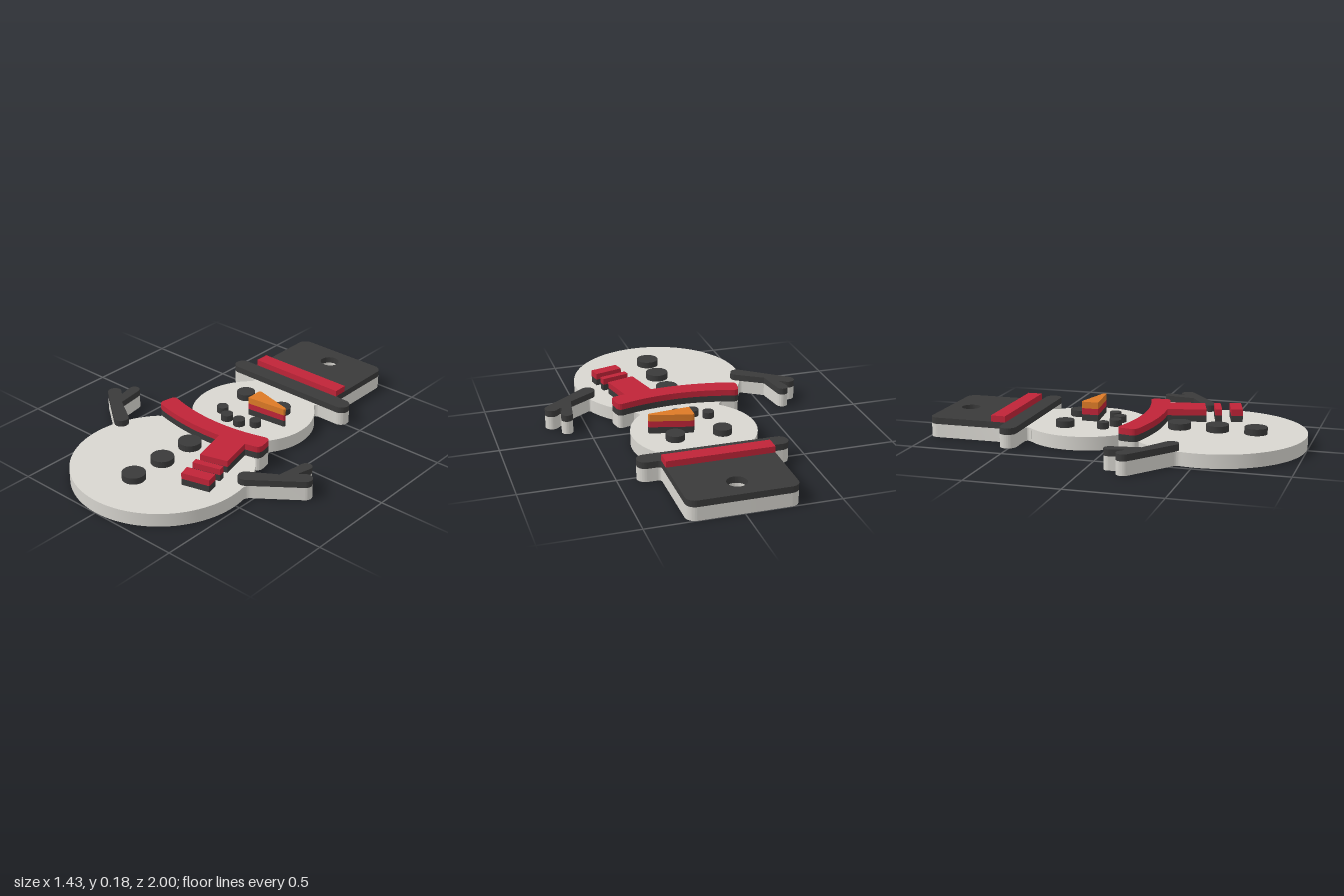
import * as THREE from 'three';
import { toCreasedNormals } from 'three/addons/utils/BufferGeometryUtils.js';

const DEG = Math.PI / 180;
const mat = (name, color) => {
  const m = new THREE.MeshStandardMaterial({ color });
  m.name = name;
  return m;
};

// heights of the four stacked layers
const Y = [0, 0.073, 0.108, 0.142, 0.178];

// Shapes are drawn in plan: shape x = model x, shape y = model z.
const poly = (pts) => new THREE.Shape(pts.map(([x, z]) => new THREE.Vector2(x, z)));

const disc = (x, z, r) => new THREE.Shape().absarc(x, z, r, 0, Math.PI * 2, false);

// closes a right-hand half outline with its mirror image
function mirrored(half) {
  const right = half.getPoints(20);
  const left = right.filter((p) => p.x > 1e-4).reverse().map((p) => new THREE.Vector2(-p.x, p.y));
  return new THREE.Shape([...right, ...left]);
}

// Half outlines, all starting on or near the centre line
function hatHalf(p) {
  p.moveTo(0, -1);
  p.lineTo(0.235, -1);
  p.absarc(0.235, -0.95, 0.05, -90 * DEG, 0, false);
  p.lineTo(0.285, -0.58);
  p.quadraticCurveTo(0.285, -0.56, 0.305, -0.56);
  p.absarc(0.355, -0.515, 0.045, -90 * DEG, 90 * DEG, false);
}

function scarfEnd(p) {
  p.lineTo(0.31, 0.08);
  p.quadraticCurveTo(0.338, 0.073, 0.345, 0.1);
  p.lineTo(0.354, 0.148);
  p.quadraticCurveTo(0.356, 0.178, 0.33, 0.185);
}

function armEdge(p) {
  p.lineTo(0.56, 0.265);
  p.absarc(0.613, 0.118, 0.031, 191 * DEG, 371 * DEG, false);
  p.lineTo(0.626, 0.195);
  p.lineTo(0.634, 0.197);
  p.absarc(0.678, 0.206, 0.037, -126 * DEG, 54 * DEG, false);
}

function baseShape() {
  const p = new THREE.Path();
  hatHalf(p);
  // neck fillet and head
  p.lineTo(0.24, -0.47);
  p.quadraticCurveTo(0.2, -0.465, 0.235, -0.43);
  p.absarc(0, -0.19, 0.335, -45.6 * DEG, 48 * DEG, false);
  p.quadraticCurveTo(0.225, 0.085, 0.25, 0.097);
  scarfEnd(p);
  // body, interrupted by the arm
  p.quadraticCurveTo(0.325, 0.19, 0.345, 0.197);
  p.absarc(0, 0.523, 0.475, -43.3 * DEG, -25 * DEG, false);
  p.quadraticCurveTo(0.435, 0.345, 0.455, 0.333);
  armEdge(p);
  p.lineTo(0.49, 0.395);
  p.quadraticCurveTo(0.462, 0.415, 0.468, 0.44);
  p.absarc(0, 0.523, 0.475, -10 * DEG, 90 * DEG, false);
  return mirrored(p);
}

function hatShape() {
  const p = new THREE.Path();
  hatHalf(p);
  p.lineTo(0, -0.47);
  return mirrored(p);
}

function scarfShape() {
  const p = new THREE.Path();
  p.moveTo(0, 0.128);
  p.quadraticCurveTo(0.155, 0.128, 0.31, 0.08);
  scarfEnd(p);
  p.quadraticCurveTo(0.165, 0.2275, 0, 0.2275);
  return mirrored(p);
}

function armShape(side) {
  const p = new THREE.Path();
  p.moveTo(0.417, 0.354);
  armEdge(p);
  p.absarc(0.44, 0.386, 0.039, 54 * DEG, 234 * DEG, false);
  return new THREE.Shape(p.getPoints(12).map((v) => new THREE.Vector2(v.x * side, v.y)));
}

export function createModel() {
  const model = new THREE.Group();
  model.name = 'snowmanOrnament';
  const white = mat('snowWhite', 0xd8d6d0);
  const black = mat('charcoal', 0x3a3a3a);
  const red = mat('scarfRed', 0xc02438);
  const orange = mat('carrotOrange', 0xdc7a26);
  const layerMats = [white, black, red, orange];

  // one flat plate filling the given layer
  function plate(name, shapes, layer, parent = model) {
    const geo = new THREE.ExtrudeGeometry(shapes, {
      depth: Y[layer + 1] - Y[layer], bevelEnabled: false, curveSegments: 32,
    });
    geo.rotateX(Math.PI / 2);
    geo.translate(0, Y[layer + 1], 0);
    const mesh = new THREE.Mesh(toCreasedNormals(geo, 30 * DEG), layerMats[layer]);
    mesh.name = name;
    parent.add(mesh);
  }

  // the same outline repeated through several layers
  function stack(name, shapes, layers) {
    const group = new THREE.Group();
    group.name = name;
    for (const l of layers) plate(`${name}Layer${l}`, shapes, l, group);
    model.add(group);
  }

  // white backing and hat, both pierced by the hanging hole
  const base = baseShape();
  const hat = hatShape();
  for (const s of [base, hat]) s.holes.push(disc(0, -0.875, 0.052));
  plate('base', base, 0);
  plate('hat', hat, 1);
  plate('hatBand', poly([[-0.285, -0.64], [0.285, -0.64], [0.285, -0.56], [-0.285, -0.56]]), 2);

  // arms, eyes and mouth
  for (const [side, label] of [[1, 'left'], [-1, 'right']]) {
    plate(`${label}Arm`, armShape(side), 1);
    plate(`${label}Eye`, disc(side * 0.128, -0.278, 0.05), 1);
    plate(`${label}MouthDots`, [disc(side * 0.117, -0.07, 0.031), disc(side * 0.043, -0.022, 0.033)], 1);
  }

  // coat buttons
  [0.32, 0.525, 0.73].forEach((z, i) => plate(`button${i + 1}`, disc(0, z, 0.061), 1));

  // scarf with hanging tail and loose fringe stripes
  stack('scarf', scarfShape(), [1, 2]);
  stack('scarfTail', poly([[0.115, 0.21], [0.27, 0.18], [0.32, 0.385], [0.17, 0.427]]), [1, 2]);
  stack('scarfStripes', [
    poly([[0.185, 0.473], [0.336, 0.433], [0.344, 0.467], [0.195, 0.508]]),
    poly([[0.204, 0.557], [0.357, 0.515], [0.37, 0.577], [0.22, 0.617]]),
  ], [1, 2]);

  // carrot nose
  stack('nose', poly([[0.01, -0.227], [0.018, -0.232], [0.03, -0.231], [0.238, -0.177],
    [0.243, -0.168], [0.238, -0.159], [0.025, -0.137], [0.01, -0.137]]), [1, 2, 3]);

  return model;
}
